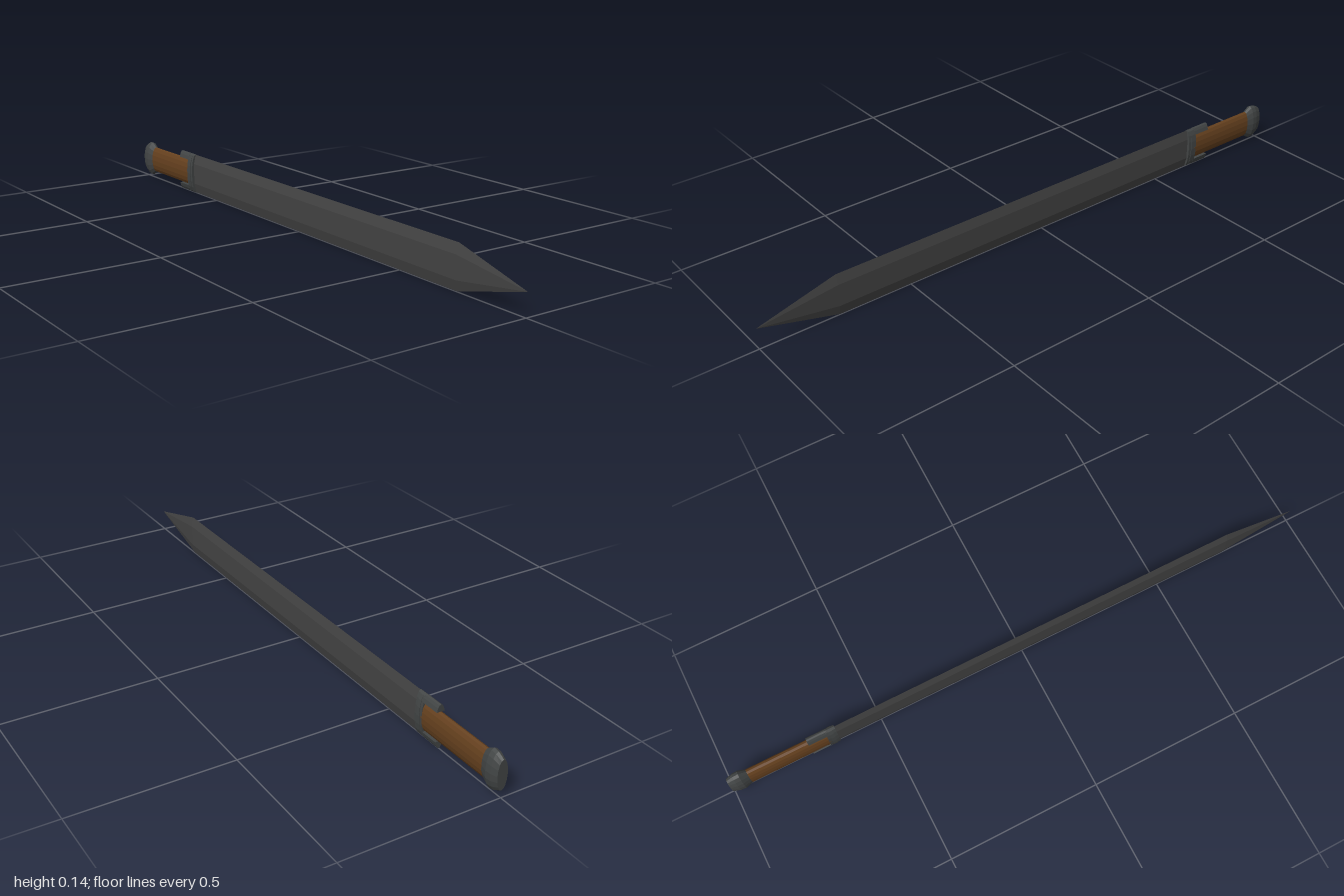
import * as THREE from 'three';

const MID = 0.0705; // height of the sword's long axis

// Skin a row of sections [z, scaleX, scaleY] that share one outline (counter-clockwise seen from +z)
function loft(outline, sections) {
  const n = outline.length, pos = [], idx = [];
  for (const [z, sx, sy] of sections) for (const [x, y] of outline) pos.push(x * sx, y * sy, z);
  for (let s = 0; s < sections.length - 1; s++) {
    for (let i = 0; i < n; i++) {
      const a = s * n + i, b = s * n + (i + 1) % n;
      idx.push(a, b, b + n, a, b + n, a + n);
    }
  }
  // End caps
  const last = (sections.length - 1) * n;
  for (let i = 1; i < n - 1; i++) idx.push(0, i + 1, i, last, last + i, last + i + 1);
  const g = new THREE.BufferGeometry();
  g.setAttribute('position', new THREE.Float32BufferAttribute(pos, 3));
  g.setIndex(idx);
  const flat = g.toNonIndexed();
  flat.computeVertexNormals();
  return flat;
}

// Arc of a unit ellipse
function arc(from, to, steps, closed) {
  const pts = [];
  for (let i = 0; i < steps + (closed ? 0 : 1); i++) {
    const a = from + (to - from) * i / steps;
    pts.push([Math.cos(a), Math.sin(a)]);
  }
  return pts;
}

export function createModel() {
  const model = new THREE.Group();
  const steel = new THREE.MeshStandardMaterial({ color: 0x434343 });
  const fittings = new THREE.MeshStandardMaterial({ color: 0x424545 });
  const leather = new THREE.MeshStandardMaterial({ color: 0x65401e });
  steel.name = 'darkSteel';
  fittings.name = 'darkFittings';
  leather.name = 'brownGrip';

  const add = (name, geometry, material) => {
    const mesh = new THREE.Mesh(geometry, material);
    mesh.name = name;
    mesh.position.y = MID;
    model.add(mesh);
    return mesh;
  };

  // Blade: flat hexagonal section running to a point
  const bladeOutline = [[0.008, -0.036], [0.008, 0.036], [0, 0.069], [-0.008, 0.036], [-0.008, -0.036], [0, -0.069]];
  add('blade', loft(bladeOutline, [[-0.66, 1, 1], [0.745, 1, 1], [1, 0.01, 0.01]]), steel);

  const oval = arc(0, Math.PI * 2, 16, true);

  // Guard: oval collar with a thin raised lip
  add('guardCollar', loft(oval, [[-0.675, 0.018, 0.0705], [-0.642, 0.017, 0.0705]]), fittings);
  add('guardLip', loft(oval, [[-0.665, 0.0195, 0.0695], [-0.652, 0.0195, 0.0695]]), fittings);

  // Guard prongs reaching back above and below the grip
  const start = Math.asin(0.67);
  for (const side of [1, -1]) {
    const prong = add(side > 0 ? 'upperProng' : 'lowerProng',
      loft(arc(start, Math.PI - start, 6, false), [[-0.735, 0.018, 0.0705], [-0.67, 0.018, 0.0705]]), fittings);
    if (side < 0) prong.rotation.z = Math.PI;
  }

  // Grip and faceted pommel
  add('grip', loft(oval, [[-0.945, 0.018, 0.047], [-0.67, 0.018, 0.047]]), leather);
  add('pommel', loft(oval, [[-1, 0.017, 0.048], [-0.978, 0.0235, 0.06], [-0.96, 0.0245, 0.062], [-0.936, 0.018, 0.047]]), fittings);

  return model;
}
